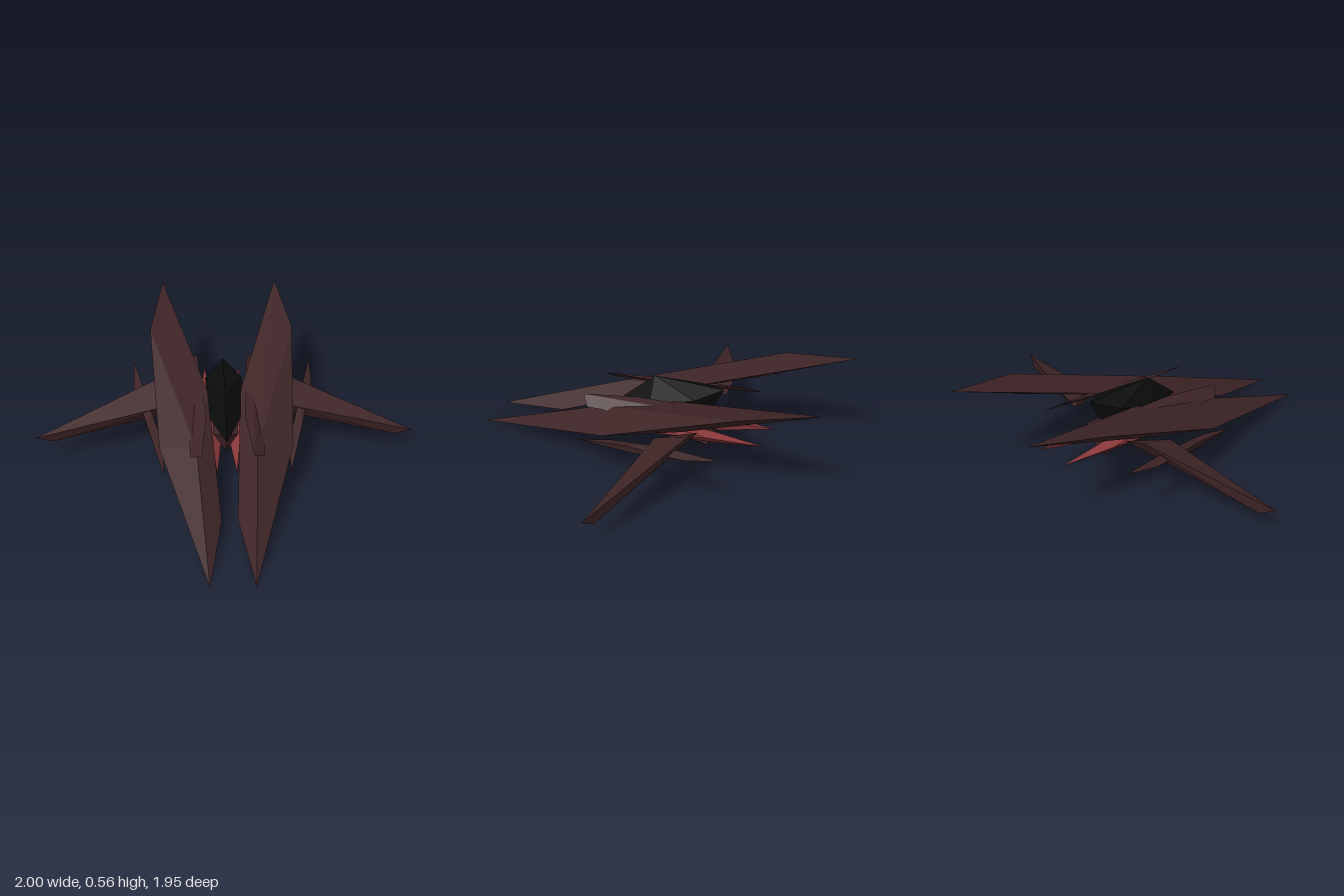
import * as THREE from 'three';
import { ConvexGeometry } from 'three/addons/geometries/ConvexGeometry.js';

const brown = new THREE.MeshStandardMaterial({ color: 0x3e2426 });
brown.name = 'dark brown hull';
const red = new THREE.MeshStandardMaterial({ color: 0x8c393b });
red.name = 'dull red';
const black = new THREE.MeshStandardMaterial({ color: 0x0a0c0b });
black.name = 'black canopy';

// Eight corners of a skewed box: one corner and three edge vectors
function skewBox(corner, u, v, w) {
  const points = [];
  for (const a of [0, 1]) for (const b of [0, 1]) for (const c of [0, 1]) {
    points.push([0, 1, 2].map((i) => corner[i] + a * u[i] + b * v[i] + c * w[i]));
  }
  return points;
}

// Faceted solid around a set of corners; side = -1 mirrors it across x
function solid(name, points, material, side = 1) {
  const vectors = points.map(([x, y, z]) => new THREE.Vector3(x * side, y, z));
  const mesh = new THREE.Mesh(new ConvexGeometry(vectors), material);
  mesh.name = name;
  return mesh;
}

// Adds the mirror image of every point that lies off the centre line
const symmetric = (points) => points.flatMap(([x, y, z]) => (x ? [[x, y, z], [-x, y, z]] : [[x, y, z]]));

export function createModel() {
  const model = new THREE.Group();
  model.name = 'fighterCraft';

  const pairs = [
    // Long slanted main blades
    ['Blade', brown, skewBox([0.11, 0.003, 0.97], [-0.07, 0.075, -0.4], [0.235, 0.215, -0.82], [0.045, 0.272, -0.73])],
    // Tapered side wings
    ['Wing', brown, [
      [1.0, 0.155, -0.05], [0.915, 0.11, -0.08],
      [0.36, 0.33, -0.325], [0.3, 0.2, -0.19], [0.21, 0.27, -0.32], [0.34, 0.27, -0.14],
    ]],
    // Thin needles crossing the wing roots
    ['Needle', brown, skewBox([0.325, 0.155, 0.295], [0, 0.04, -0.19], [0.08, 0.04, -0.34], [0.08, 0.075, -0.305])],
    // Pods on the upper inner side of the blades
    ['Pod', brown, skewBox([0.13, 0.31, 0.35], [0.055, -0.04, -0.045], [-0.03, 0.03, -0.3], [0.035, 0.04, -0.53])],
    // Red lower skids
    ['Skid', red, skewBox([0.05, 0.145, 0.28], [-0.03, 0, -0.3], [0.03, 0.055, -0.3], [0.045, -0.005, -0.315])],
  ];
  for (const [name, material, points] of pairs) {
    model.add(solid('left' + name, points, material, 1));
    model.add(solid('right' + name, points, material, -1));
  }

  // Central body between the blades
  model.add(solid('body', symmetric([
    [0, 0.14, 0.08], [0.065, 0.25, 0.08], [0, 0.27, 0.13],
    [0, 0.075, -0.28], [0.04, 0.1, -0.31], [0.065, 0.26, -0.36],
  ]), brown));

  // Faceted canopy
  model.add(solid('canopy', symmetric([
    [0, 0.27, 0.18], [0, 0.425, 0], [0, 0.42, -0.38], [0.098, 0.38, -0.255],
    [0.08, 0.29, 0], [0, 0.238, 0.05], [0, 0.27, -0.3],
  ]), black));

  return model;
}
